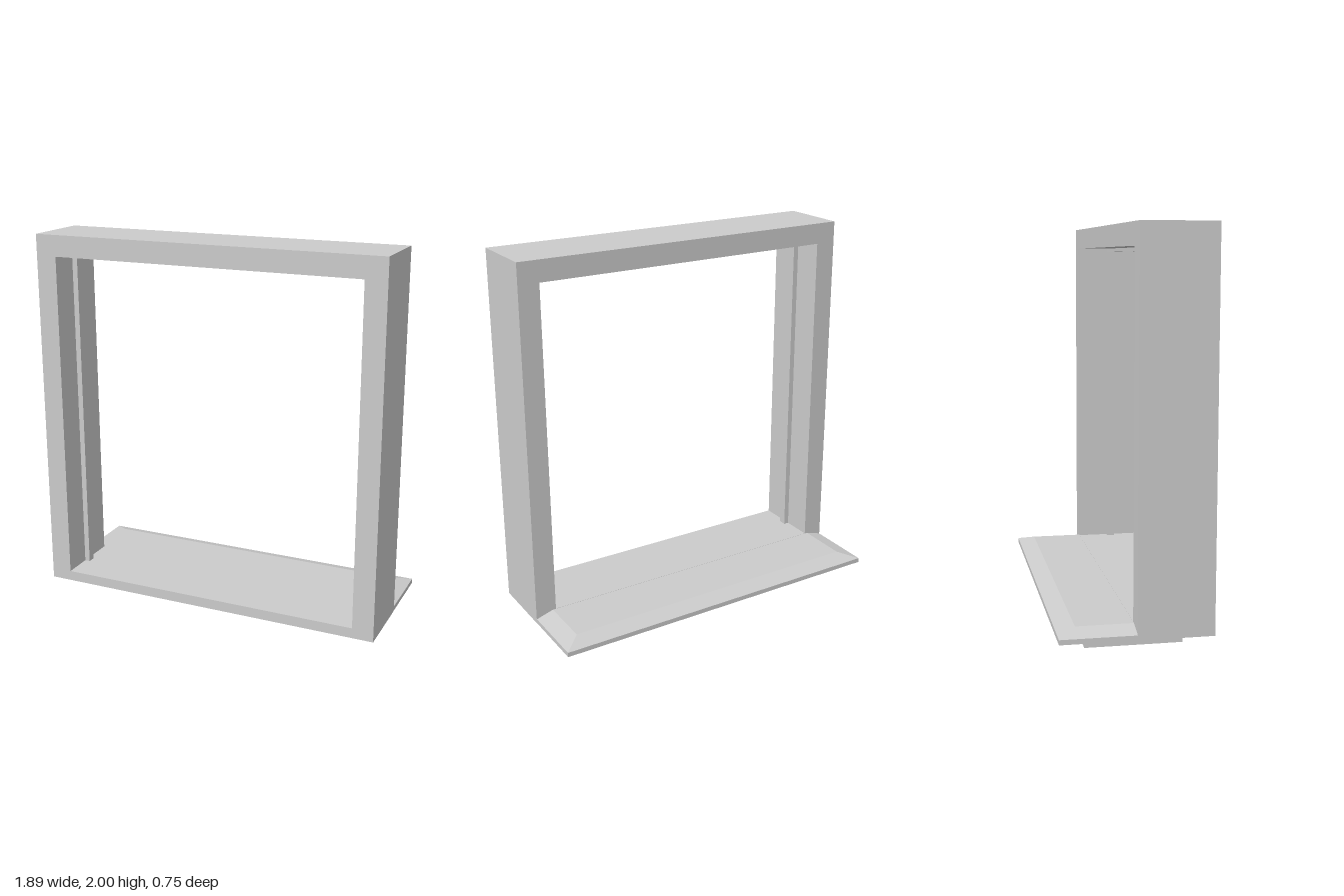
import * as THREE from 'three';

const material = new THREE.MeshStandardMaterial({ color: 0xcccccc });

// Rectangular ring (outer and inner given as x half-width, bottom, top) running from z0 to z1
function rectRing(outer, inner, z0, z1) {
  const corners = ([w, b, t]) => [[-w, b], [w, b], [w, t], [-w, t]].map(([x, y]) => new THREE.Vector2(x, y));
  const shape = new THREE.Shape(corners(outer));
  shape.holes.push(new THREE.Path(corners(inner).reverse()));
  const geo = new THREE.ExtrudeGeometry(shape, { depth: z1 - z0, bevelEnabled: false });
  return geo.translate(0, 0, z0);
}

// Solid through stacked rectangles, each [y, x half-width, z half-depth]
function stackedRects(levels) {
  const pos = [];
  const rings = levels.map(([y, w, d]) => [[-w, y, d], [w, y, d], [w, y, -d], [-w, y, -d]]);
  const quad = (a, b, c, d) => pos.push(...a, ...b, ...c, ...a, ...c, ...d);
  for (let i = 0; i < rings.length - 1; i++) {
    for (let j = 0; j < 4; j++) {
      const k = (j + 1) % 4;
      quad(rings[i][j], rings[i][k], rings[i + 1][k], rings[i + 1][j]);
    }
  }
  const top = rings[rings.length - 1], bottom = rings[0];
  quad(...top);
  quad(bottom[3], bottom[2], bottom[1], bottom[0]);
  const geo = new THREE.BufferGeometry();
  geo.setAttribute('position', new THREE.Float32BufferAttribute(pos, 3));
  geo.computeVertexNormals();
  return geo;
}

export function createModel() {
  const group = new THREE.Group();
  const add = (name, geo) => {
    const mesh = new THREE.Mesh(geo, material);
    mesh.name = name;
    group.add(mesh);
  };

  // Main frame, standing over the front half of the sill
  add('frame', rectRing([0.945, 0.055, 2], [0.832, 0.11, 1.888], 0, 0.375));

  // Thin stop inside the opening, on the jambs and the head only
  add('innerStop', rectRing([0.85, 0.08, 1.9], [0.803, 0.109, 1.868], 0.17, 0.215));

  // Sill plate with chamfered top and sloping underside
  add('sill', stackedRects([
    [0.04, 0.85, 0.24],
    [0.055, 0.944, 0.374],
    [0.08, 0.944, 0.374],
    [0.109, 0.85, 0.285],
  ]));

  // Foot block under the sill
  add('foot', new THREE.BoxGeometry(1.7, 0.042, 0.48).translate(0, 0.021, 0));

  return group;
}
